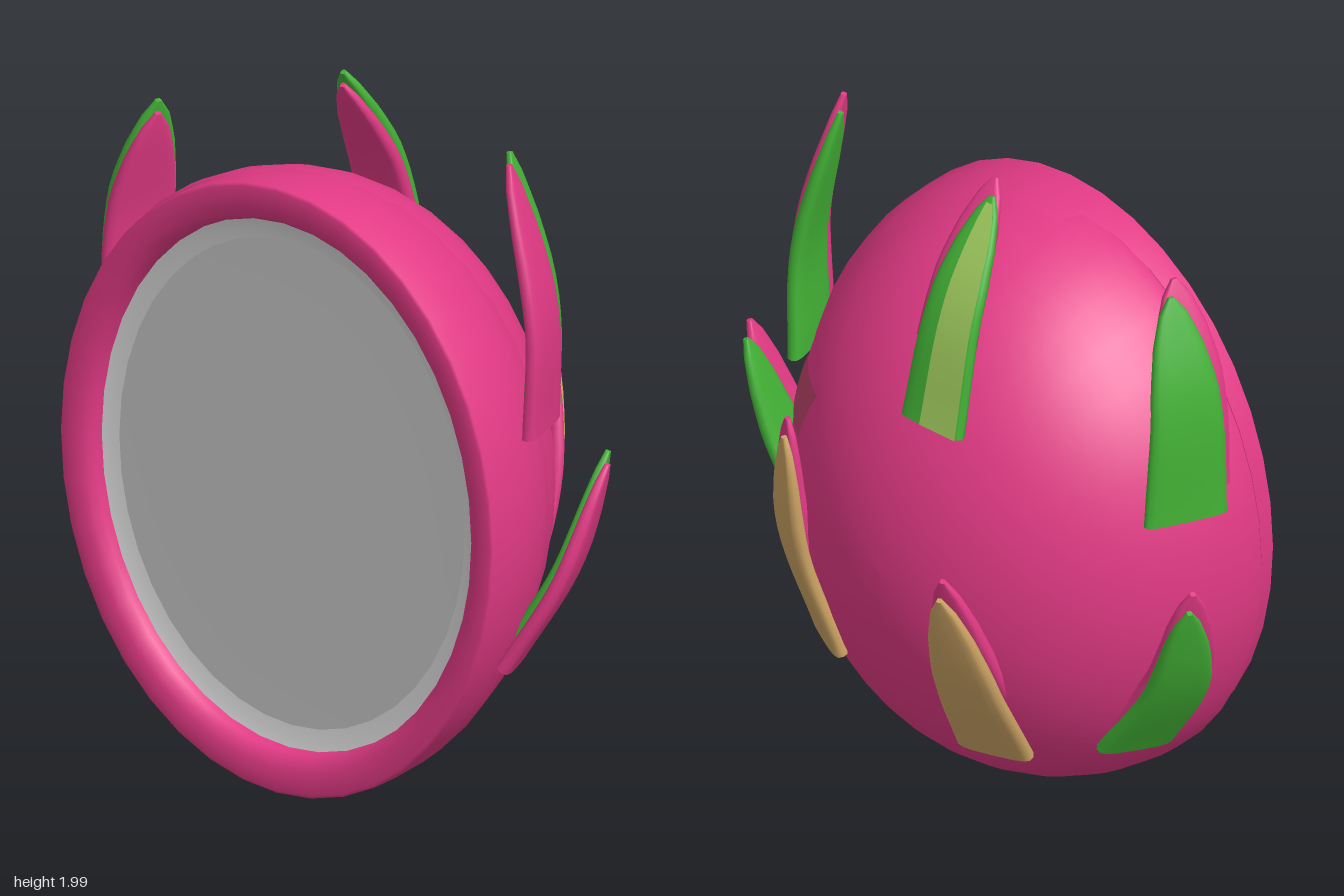
import * as THREE from 'three';

const mat = (name, color, side = THREE.FrontSide) => {
  const m = new THREE.MeshStandardMaterial({ color, side });
  m.name = name;
  return m;
};
const pink = mat('pink skin', 0xe23a85);
const green = mat('leaf green', 0x42b035);
const lightGreen = mat('pale green', 0xa0cb5e, THREE.DoubleSide);
const tan = mat('dry tan', 0xcba263);
const flesh = mat('grey flesh', 0xc3c3c3);
const fleshEdge = mat('light flesh edge', 0xd6d6d6);
const bruise = mat('bruise', 0xb84468, THREE.DoubleSide);

// Skin ellipsoid; its left half is a little slimmer
const BODY = { c: new THREE.Vector3(-0.03, 0.9, 0.38), r: new THREE.Vector3(0.78, 0.9, 0.73) };
const SLIM = 0.94;
const UP = new THREE.Vector3(0, 1, 0);

// Oval lathe whose axis points to the front: profile is [radius fraction, z]
function ovalLathe(profile, rx, ry) {
  const g = new THREE.LatheGeometry(profile.map(([r, z]) => new THREE.Vector2(r, z)), 40);
  return g.scale(rx, 1, ry).rotateX(Math.PI / 2);
}

// Frame of a leaf at t: point, sideways, outward, half width and half thickness
function leafFrame(curve, out, width, t) {
  const p = curve.getPoint(t);
  const side = new THREE.Vector3().crossVectors(UP, out).normalize();
  const normal = new THREE.Vector3().crossVectors(side, curve.getTangent(t)).normalize();
  const taper = [[0, 1], [0.3, 0.93], [0.6, 0.81], [0.8, 0.59], [0.93, 0.33], [1, 0.07]];
  let k = 1;
  while (k < taper.length - 1 && t > taper[k][0]) k++;
  const [t0, w0] = taper[k - 1], [t1, w1] = taper[k];
  const w = w0 + (w1 - w0) * (t - t0) / (t1 - t0);
  return { p, side, normal, w: w * width / 2, h: 0.025 * Math.min(1, 0.25 + w) };
}

// Solid tapered scale with a rounded-slab section
function leafGeometry(curve, out, width) {
  const rows = 14, n = 16, pos = [], idx = [];
  const soft = (v, e) => Math.sign(v) * Math.abs(v) ** e;
  for (let i = 0; i <= rows; i++) {
    const f = leafFrame(curve, out, width, i / rows);
    for (let j = 0; j < n; j++) {
      const a = j / n * Math.PI * 2;
      const v = f.p.clone().addScaledVector(f.side, soft(Math.cos(a), 0.6) * f.w)
        .addScaledVector(f.normal, soft(Math.sin(a), 0.6) * f.h);
      pos.push(v.x, v.y, v.z);
      if (i < rows) {
        const q = i * n + j, r = i * n + (j + 1) % n;
        idx.push(q, q + n, r, r, q + n, r + n);
      }
    }
  }
  // caps at the base and the tip, with their own corners
  for (const row of [0, rows]) {
    const s = pos.length / 3;
    pos.push(...pos.slice(row * n * 3, (row + 1) * n * 3));
    for (let j = 1; j < n - 1; j++) {
      if (row === 0) idx.push(s, s + j, s + j + 1);
      else idx.push(s, s + j + 1, s + j);
    }
  }
  return makeGeometry(pos, idx);
}

function makeGeometry(pos, idx) {
  const g = new THREE.BufferGeometry();
  g.setAttribute('position', new THREE.Float32BufferAttribute(pos, 3));
  g.setIndex(idx);
  g.computeVertexNormals();
  return g;
}

// Grid surface from a rule (u, v) -> point
function sheet(rule, nu, nv) {
  const pos = [], idx = [];
  for (let i = 0; i <= nv; i++) for (let j = 0; j <= nu; j++) {
    const p = rule(j / nu, i / nv);
    pos.push(p.x, p.y, p.z);
    if (i < nv && j < nu) {
      const a = i * (nu + 1) + j, b = a + nu + 1;
      idx.push(a, b, a + 1, a + 1, b, b + 1);
    }
  }
  return makeGeometry(pos, idx);
}

export function createModel() {
  const model = new THREE.Group();
  model.name = 'halfFruit';
  const add = (name, geo, material, parent = model) => {
    const m = new THREE.Mesh(geo, material);
    m.name = name;
    parent.add(m);
    return m;
  };

  // Domed skin, tucked in under the rim at its open end
  const dome = [];
  for (let i = 0; i <= 20; i++) {
    const a = i / 20 * Math.PI / 2;
    dome.push([Math.sin(a), -BODY.r.z * Math.cos(a)]);
  }
  dome.push([0.985, 0.014], [0.9, 0.016]);
  const skin = ovalLathe(dome, BODY.r.x, BODY.r.y);
  const sp = skin.attributes.position;
  for (let i = 0; i < sp.count; i++) if (sp.getX(i) > 0) sp.setX(i, sp.getX(i) * SLIM);
  add('skin', skin, pink).position.copy(BODY.c);

  // Cut rim and the sunken flesh inside it
  const rim = [[0.77, 0], [0.88, 0.1], [0.95, 0.2], [0.988, 0.3], [1, 0.38], [1, 0.474], [0.99, 0.48],
    [0.955, 0.48], [0.92, 0.477], [0.89, 0.465], [0.873, 0.445], [0.868, 0.41]];
  const parts = [
    ['rim', rim, pink],
    ['fleshEdge', [[0.872, 0.418], [0.84, 0.41], [0.8, 0.405]], fleshEdge],
    ['flesh', [[0.8, 0.405], [0.6, 0.403], [0, 0.403]], flesh],
  ];
  for (const [name, profile, material] of parts) {
    add(name, ovalLathe(profile, 0.758, 0.903), material).position.set(-0.01, 0.905, 0);
  }

  // Scales: base, middle, tip, outward direction (x, z), width, backing colour
  const scales = [
    ['rightUpper', [-0.70, 1.16, 0.20], [-0.685, 1.5, 0.22], [-0.60, 1.82, 0.25], [-0.9, -0.42], 0.25, green],
    ['rightLower', [-0.59, 0.42, 0.11], [-0.76, 0.68, 0.10], [-0.86, 0.99, 0.04], [-0.85, -0.5], 0.22, green],
    ['top', [-0.07, 1.36, -0.15], [-0.07, 1.70, -0.06], [-0.06, 1.99, 0.11], [0, -1], 0.22, green],
    ['leftUpper', [0.69, 1.17, 0.18], [0.70, 1.5, 0.19], [0.60, 1.94, 0.21], [0.95, -0.3], 0.24, green],
    ['leftLower', [0.66, 0.50, 0.27], [0.81, 0.77, 0.22], [0.90, 1.10, 0.15], [0.92, -0.35], 0.23, green],
    ['backLeft', [0.35, 0.48, -0.11], [0.39, 0.83, -0.22], [0.36, 1.21, -0.29], [0.5, -0.87], 0.24, tan],
    ['backRight', [-0.27, 0.37, -0.11], [-0.30, 0.65, -0.26], [-0.32, 1.01, -0.40], [-0.3, -0.95], 0.23, tan],
  ];
  for (const [name, base, mid, tip, [ox, oz], width, backing] of scales) {
    const curve = new THREE.CatmullRomCurve3([base, mid, tip].map(p => new THREE.Vector3(...p)));
    const out = new THREE.Vector3(ox, 0, oz);
    const geo = leafGeometry(curve, out, width);
    const pair = new THREE.Group();
    pair.name = name + 'Scale';
    model.add(pair);
    add('pinkLayer', geo, pink, pair);
    const back = add('backingLayer', geo, backing, pair);
    back.position.set(-0.06, 0, -0.08);
    // Pale stripe on the outer face of the top scale
    if (name === 'top') {
      const stripe = sheet((u, v) => {
        const f = leafFrame(curve, out, width, v * 0.97);
        return f.p.addScaledVector(f.side, f.w * (-0.25 + 1.2 * u)).addScaledVector(f.normal, f.h + 0.003);
      }, 4, 14);
      add('paleStripe', stripe, lightGreen, pair).position.copy(back.position);
    }
  }

  // Faint square patch lying on the left side of the skin
  const { c, r } = BODY;
  add('patch', sheet((u, v) => {
    const y = 1.08 + 0.16 * v, z = -0.04 - 0.15 * u;
    const k = 1 - ((y - c.y) / r.y) ** 2 - ((z - c.z) / r.z) ** 2;
    return new THREE.Vector3(c.x + SLIM * r.x * Math.sqrt(k) + 0.006, y, z);
  }, 6, 6), bruise);

  return model;
}
